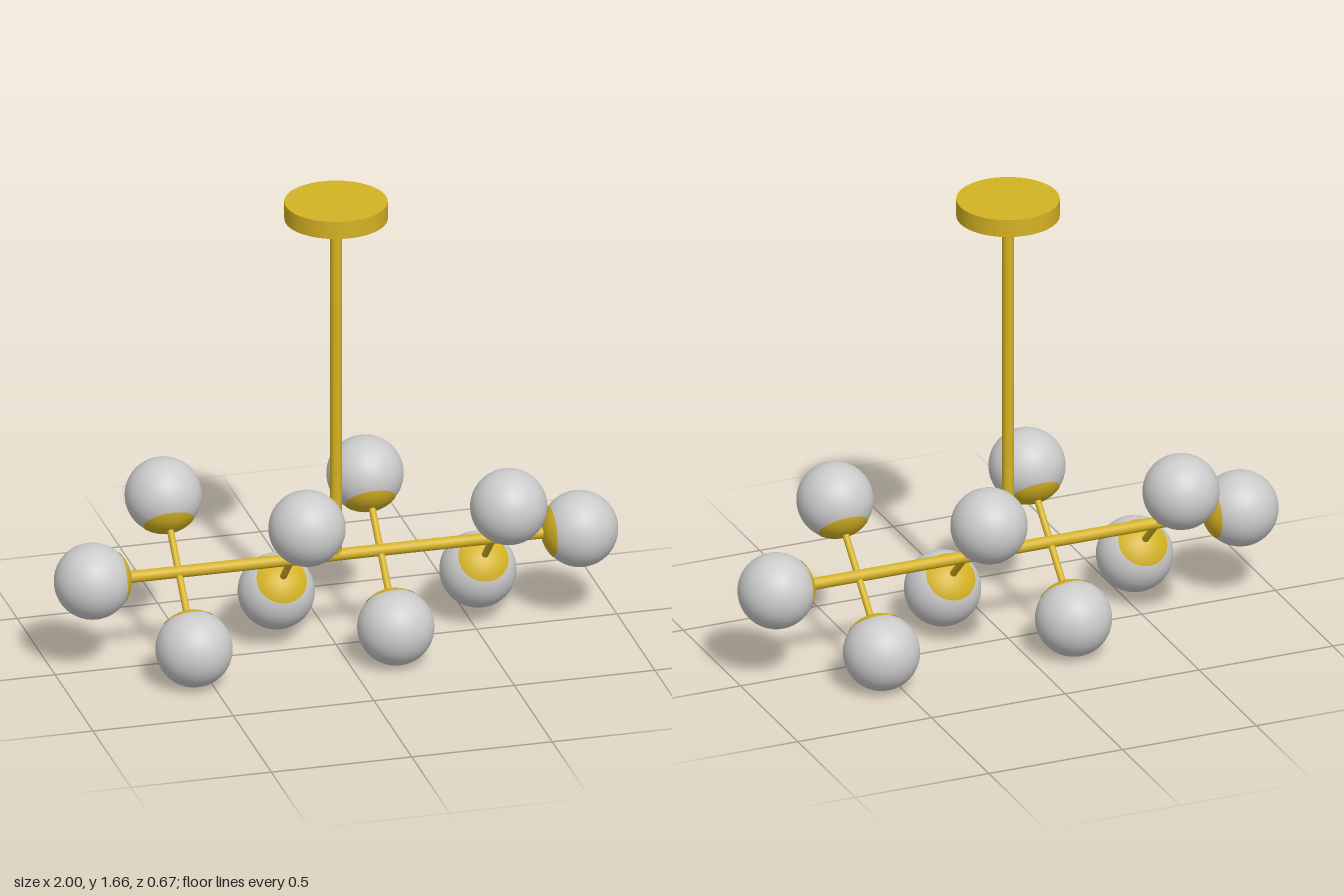
import * as THREE from 'three';

const BAR_Y = 0.338;      // height of the horizontal bar
const GLOBE_R = 0.133;
const ARM = 0.203;        // sideways and vertical offset of the arm globes
const END_X = 0.867;      // centre of the end globes
const UP = new THREE.Vector3(0, 1, 0);

export function createModel() {
  const model = new THREE.Group();
  const brass = new THREE.MeshStandardMaterial({ color: 0xd4b224 });
  const brassThin = new THREE.MeshStandardMaterial({ color: 0xd4b224, side: THREE.DoubleSide });
  const glass = new THREE.MeshStandardMaterial({ color: 0xcccccc });

  const add = (parent, name, geometry, material) => {
    const mesh = new THREE.Mesh(geometry, material);
    mesh.name = name;
    parent.add(mesh);
    return mesh;
  };

  // Round rod between two points
  const rod = (name, a, b, radius) => {
    const dir = b.clone().sub(a);
    const mesh = add(model, name, new THREE.CylinderGeometry(radius, radius, dir.length(), 24), brass);
    mesh.position.copy(a).add(b).multiplyScalar(0.5);
    mesh.quaternion.setFromUnitVectors(UP, dir.normalize());
  };

  // Glass globe with a brass cup on the side facing its rod
  const globeGeometry = new THREE.SphereGeometry(GLOBE_R, 48, 32);
  const cupGeometry = new THREE.SphereGeometry(GLOBE_R + 0.002, 48, 12, 0, Math.PI * 2, 0, 0.71);
  const lamp = (name, centre, hub) => {
    const group = new THREE.Group();
    group.name = name;
    group.position.copy(centre);
    group.quaternion.setFromUnitVectors(UP, hub.clone().sub(centre).normalize());
    add(group, 'globe', globeGeometry, glass);
    add(group, 'cup', cupGeometry, brassThin);
    model.add(group);
  };

  // Ceiling plate and stem
  const plate = add(model, 'ceilingPlate', new THREE.CylinderGeometry(0.178, 0.178, 0.064, 64), brass);
  plate.position.y = 1.632;
  rod('stem', new THREE.Vector3(0, BAR_Y, 0), new THREE.Vector3(0, 1.61, 0), 0.02);

  // Horizontal bar with a globe at each end
  const reach = END_X - GLOBE_R + 0.005;
  rod('bar', new THREE.Vector3(-reach, BAR_Y, 0), new THREE.Vector3(reach, BAR_Y, 0), 0.021);
  const centre = new THREE.Vector3(0, BAR_Y, 0);
  for (const s of [-1, 1]) lamp('endLamp', new THREE.Vector3(s * END_X, BAR_Y, 0), centre);

  // Diagonal arms, alternating in tilt, each with an upper and a lower globe
  [-0.56, -0.158, 0.158, 0.56].forEach((x, i) => {
    const tilt = i % 2 ? 1 : -1;
    const hub = new THREE.Vector3(x, BAR_Y, 0);
    const ends = [1, -1].map((s) => new THREE.Vector3(x, BAR_Y + s * ARM, s * tilt * ARM));
    const inner = (ARM * Math.SQRT2 - GLOBE_R + 0.005) / (ARM * Math.SQRT2);
    rod('arm', hub.clone().lerp(ends[0], inner), hub.clone().lerp(ends[1], inner), 0.012);
    lamp('upperLamp', ends[0], hub);
    lamp('lowerLamp', ends[1], hub);
  });

  return model;
}
